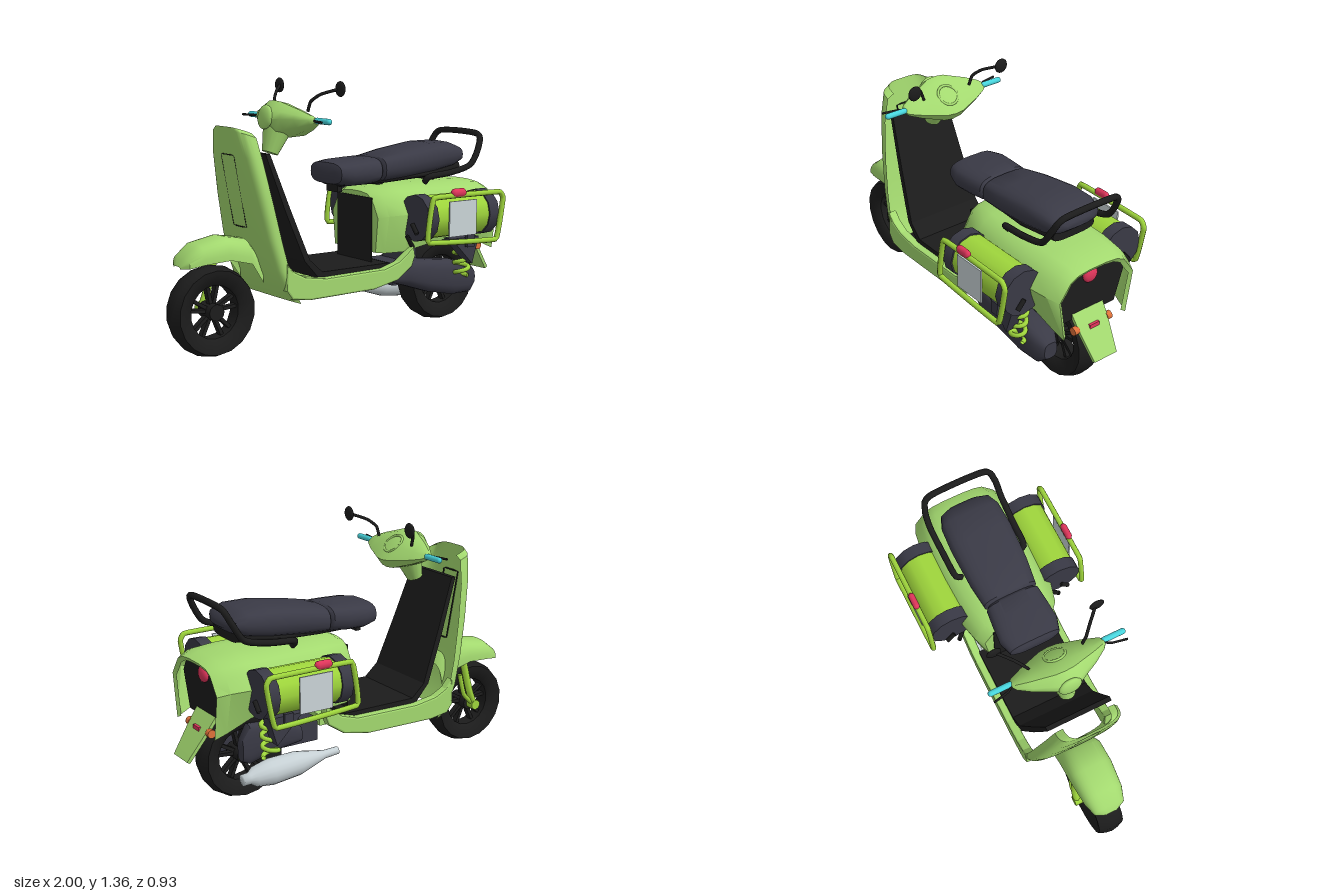
import * as THREE from 'three';
import { toCreasedNormals } from 'three/addons/utils/BufferGeometryUtils.js';

const V = (x, y, z) => new THREE.Vector3(x, y, z);

function material(name, color) {
  const m = new THREE.MeshStandardMaterial({ color, side: THREE.DoubleSide });
  m.name = name;
  return m;
}

// Skin a row of cross-sections (arrays of Vector3 of equal length)
function loft(sections, { closed = true, caps = [true, true] } = {}) {
  const n = sections[0].length, pos = [], idx = [];
  sections.forEach(s => s.forEach(p => pos.push(p.x, p.y, p.z)));
  const span = closed ? n : n - 1;
  for (let i = 0; i < sections.length - 1; i++)
    for (let j = 0; j < span; j++) {
      const a = i * n + j, b = i * n + (j + 1) % n;
      idx.push(a, b, a + n, b, b + n, a + n);
    }
  [0, sections.length - 1].forEach((s, k) => {
    if (!caps[k]) return;
    const c = sections[s].reduce((sum, p) => sum.add(p), V(0, 0, 0)).divideScalar(n);
    const ci = pos.push(c.x, c.y, c.z) / 3 - 1;
    for (let j = 0; j < n; j++) {
      const a = s * n + j, b = s * n + (j + 1) % n;
      k ? idx.push(a, b, ci) : idx.push(b, a, ci);
    }
  });
  const g = new THREE.BufferGeometry();
  g.setAttribute('position', new THREE.Float32BufferAttribute(pos, 3));
  g.setIndex(idx);
  return toCreasedNormals(g, 0.75);
}

const pw = (v, e) => Math.sign(v) * Math.abs(v) ** e;

// Rounded ring at x: half width w, top yt, bottom yb, centred on zc
const ring = ([x, w, yt, yb], zc = 0) => Array.from({ length: 20 }, (_, i) => {
  const a = i / 20 * Math.PI * 2;
  return V(x, (yt + yb) / 2 + (yt - yb) / 2 * pw(Math.sin(a), 0.7), zc + w * pw(Math.cos(a), 0.6));
});

// Open dome at x, with its rim at yb
const dome = ([x, w, yt, yb]) => Array.from({ length: 17 }, (_, i) => {
  const a = i / 16 * Math.PI;
  return V(x, yb + (yt - yb) * Math.abs(Math.sin(a)) ** 0.8, w * pw(Math.cos(a), 0.65));
});

function extrude(points, depth, z0, bevel = 0) {
  const shape = new THREE.Shape(points.map(p => new THREE.Vector2(p[0], p[1])));
  const g = new THREE.ExtrudeGeometry(shape, { depth, bevelEnabled: bevel > 0, bevelSize: bevel, bevelThickness: bevel, bevelSegments: 2 });
  return g.translate(0, 0, z0);
}

const tube = (pts, r, closed = false, tension = 0.3, seg = 40) =>
  new THREE.TubeGeometry(new THREE.CatmullRomCurve3(pts.map(p => V(...p)), closed, 'catmullrom', tension), seg, r, 8, closed);

const box = (w, h, d, x, y, z) => new THREE.BoxGeometry(w, h, d).translate(x, y, z);

export function createModel() {
  const model = new THREE.Group();
  const green = material('body green', 0xa3d96f), lime = material('lime', 0x9fd63c);
  const black = material('black', 0x1c1c1c), slate = material('dark slate', 0x3a3a46);
  const cyan = material('cyan', 0x48d6de), red = material('red', 0xe2365c);
  const orange = material('orange', 0xe0723a), grey = material('plate grey', 0xcbd5d8);
  const silver = material('silver', 0xc6d0d4);
  const add = (name, geo, mat, parent = model) => {
    const m = new THREE.Mesh(geo, mat);
    m.name = name;
    parent.add(m);
    return m;
  };

  // Wheels
  const tyre = [[.145, -.05], [.19, -.068], [.212, -.07], [.225, -.035], [.231, 0], [.225, .035], [.212, .07], [.19, .068], [.145, .05], [.135, .04], [.135, -.04], [.145, -.05]];
  for (const [name, x] of [['frontWheel', -.77], ['rearWheel', .675]]) {
    const wheel = new THREE.Group();
    wheel.name = name;
    wheel.position.set(x, .231, 0);
    add('tyre', toCreasedNormals(new THREE.LatheGeometry(tyre.map(p => new THREE.Vector2(...p)), 18).rotateX(Math.PI / 2), 0.5), black, wheel);
    add('hub', new THREE.CylinderGeometry(.042, .042, .12, 12).rotateX(Math.PI / 2), black, wheel);
    for (let i = 0; i < 10; i++)
      add('spoke', box(.12, .018, .035, .08, 0, 0).rotateZ((Math.floor(i / 2) + (i % 2 ? .17 : -.17)) * Math.PI * 2 / 5 + .3), black, wheel);
    model.add(wheel);
  }

  // Front fender and single-sided fork
  add('frontFender', loft([[-.955, .03, .475, .465], [-.93, .085, .525, .47], [-.86, .108, .58, .485], [-.72, .12, .605, .495],
    [-.6, .12, .585, .465], [-.53, .11, .5, .36]].map(dome), { closed: false, caps: [false, false] }), green);
  add('fork', tube([[-.77, .231, -.095], [-.735, .32, -.095], [-.7, .49, -.08]], .02), lime);
  add('forkLink', tube([[-.77, .231, -.095], [-.7, .3, -.095], [-.67, .42, -.09]], .013), lime);
  add('axle', new THREE.CylinderGeometry(.028, .028, .05, 10).rotateX(Math.PI / 2).translate(-.77, .231, -.09), lime);

  // Leg shield: a front sheet whose sides fold back
  const shieldRows = [[1.14, -.685, .12], [1.12, -.682, .16], [1, -.665, .195], [.8, -.628, .225], [.6, -.588, .245], [.45, -.55, .255], [.35, -.515, .255], [.29, -.48, .24]];
  add('legShield', loft(shieldRows.map(([y, x, w]) => Array.from({ length: 29 }, (_, i) => {
    const a = i / 28 * Math.PI, back = 1 - Math.sin(a) ** 0.6;
    return V(x + .085 * back, y - .03 * back, w * pw(Math.cos(a), 0.5));
  })), { closed: false, caps: [false, false] }), green);
  add('shieldSeam', tube([[-.662, 1, -.06], [-.662, 1, .06], [-.594, .64, .06], [-.594, .64, -.06]], .004, true, 0.02), black);

  // Inner mat, narrowing towards the top
  const mat = extrude([[-.555, 1.01], [-.455, .72], [-.355, .465], [-.27, .37], [.17, .37], [.17, .402], [-.25, .402], [-.325, .47], [-.43, .74], [-.53, 1.01]], .44, -.22);
  const mp = mat.attributes.position;
  for (let i = 0; i < mp.count; i++) mp.setZ(i, mp.getZ(i) * (1 - Math.max(0, mp.getY(i) - .45) * .36));
  mat.computeVertexNormals();
  add('footMat', mat, black);
  add('underSpine', box(.52, .06, .16, -.02, .335, 0), green);

  // Floor rails
  const rail = [[-.48, .46], [-.45, .42], [-.38, .385], [-.25, .365], [.12, .37], [.22, .4], [.305, .465], [.31, .43], [.29, .38], [.2, .32], [.05, .29], [-.35, .285], [-.45, .3], [-.48, .34]];
  for (const z of [-.25, .22]) add('floorRail', extrude(rail, .03, z, .01), green);

  // Rear body shell: x, half width, top, bottom, bottom half width
  const bodySection = ([x, w, yt, yb, wb]) => {
    const h = yt - .79, half = [[wb, yb], [w, .65 + h / 2], [w * .85, .718 + h], [w * .72, .76 + h], [w * .52, .782 + h], [w * .22, .79 + h]];
    return [...half, ...half.slice().reverse().map(([z, y]) => [-z, y])].map(([z, y]) => V(x, y, z));
  };
  add('rearBody', loft([[.115, .2, .765, .455, .18], [.16, .238, .785, .45, .2], [.28, .268, .795, .45, .22], [.5, .282, .795, .49, .23],
    [.72, .282, .79, .49, .225], [.85, .262, .782, .43, .21], [.912, .235, .755, .405, .2], [.9, .215, .735, .415, .18]].map(bodySection),
    { closed: false, caps: [true, false] }), green);
  add('bodyFrontPanel', box(.006, .34, .3, .113, .57, 0), black);
  const tailPanel = extrude([[-.175, .45], [-.232, .64], [-.19, .715], [-.13, .745], [.13, .745], [.19, .715], [.232, .64], [.175, .45]], .012, 0);
  add('tailPanel', tailPanel.rotateY(Math.PI / 2).translate(.84, 0, 0), black);
  add('tailLight', new THREE.SphereGeometry(.044, 16, 10).scale(.5, 1, 1).translate(.858, .68, 0), red);

  // Mud flap with reflector and indicators
  add('mudFlap', loft([[.83, .48, .1], [.88, .41, .096], [.985, .258, .072]].map(([x, y, w]) =>
    [V(x, y, -w), V(x + .016, y + .01, -w), V(x + .016, y + .01, w), V(x, y, w)])), green);
  add('reflector', box(.022, .028, .06, .9, .405, 0), red);
  for (const s of [-1, 1]) add('indicator', new THREE.CylinderGeometry(.022, .022, .03, 12).rotateX(Math.PI / 2).translate(.885, .407, s * .106), orange);

  // Seat
  add('frontSeat', loft([[-.085, .1, .9, .84], [-.072, .14, .925, .815], [0, .163, .935, .8], [.1, .156, .94, .8], [.185, .147, .943, .808], [.2, .13, .93, .815]].map(s => ring(s))), slate);
  add('rearSeat', loft([[.2, .13, .93, .82], [.212, .148, .946, .81], [.35, .165, .972, .82], [.55, .172, 1, .838], [.68, .165, 1, .86], [.745, .14, .975, .885], [.772, .08, .945, .91]].map(s => ring(s))), slate);
  add('seatBase', loft([[-.03, .1, .83, .8], [.25, .11, .84, .8], [.5, .14, .86, .815], [.73, .13, .9, .835]].map(s => ring(s))), black);
  for (const x of [-.02, .245, .6]) add('seatPost', box(.03, .06, .1, x, .8, 0), black);
  const hoop = [[.45, .8, .17], [.46, .832, .2], [.6, .845, .204], [.74, .88, .207], [.805, .975, .2], [.835, 1.04, .15]];
  add('grabRail', tube([...hoop, ...hoop.slice().reverse().map(([x, y, z]) => [x, y, -z])], .017, false, .4, 70), black);

  // Handlebar head: one outline shrinking towards each grip
  const outline = [[-.46, 1.17], [-.445, 1.215], [-.39, 1.257], [-.34, 1.245], [-.26, 1.19], [-.2, 1.115], [-.235, 1.07], [-.33, 1.065], [-.425, 1.1]];
  const sizes = [[.25, .15], [.236, .27], [.17, .55], [.1, .78], [.05, .95]];
  const headRows = [...sizes, [0, 1], ...sizes.slice().reverse().map(([z, k]) => [-z, k])];
  add('handlebarHead', loft(headRows.map(([z, k]) => outline.map(([x, y]) => V(-.305 + (x + .305) * k, 1.165 + (y - 1.165) * k, z)))), green);
  add('steeringNeck', new THREE.CylinderGeometry(.075, .042, .13, 16).rotateZ(-.35).translate(-.395, 1.055, 0), green);
  add('headlight', new THREE.SphereGeometry(.062, 16, 10).scale(.35, 1, 1).rotateZ(-.15).translate(-.444, 1.175, 0), green);
  add('instrumentRim', new THREE.TorusGeometry(.055, .007, 8, 20).rotateX(Math.PI / 2).rotateZ(-.75).translate(-.275, 1.192, 0), green);

  for (const s of [-1, 1]) {
    const side = new THREE.Group();
    side.name = s > 0 ? 'leftSide' : 'rightSide';
    model.add(side);
    const put = (name, geo, m) => add(name, geo, m, side);

    // Grip, lever and mirror
    put('grip', new THREE.CapsuleGeometry(.0155, .1, 4, 12).rotateX(Math.PI / 2).translate(-.305, 1.165, s * .305), cyan);
    put('lever', tube([[-.31, 1.165, s * .24], [-.335, 1.165, s * .28], [-.352, 1.165, s * .36]], .006), black);
    put('mirrorStem', tube([[-.285, 1.205, s * .145], [-.28, 1.255, s * .165], [-.245, 1.29, s * .2], [-.185, 1.315, s * .26]], .008), black);
    put('mirror', new THREE.SphereGeometry(.039, 16, 10).scale(.35, 1, 1).translate(-.178, 1.317, s * .273), black);

    // Cylindrical side case
    const drum = (r, x0, x1) => new THREE.CylinderGeometry(r, r, x1 - x0, 12).rotateZ(Math.PI / 2).translate((x0 + x1) / 2, .64, s * .315);
    put('sideCase', drum(.115, .3, .71), lime);
    for (const [x0, x1, end] of [[.265, .33, .245], [.68, .745, .755]]) {
      put('caseEndCap', drum(.123, x0, x1), slate);
      put('caseLatch', tube([[end, .612, s * .32], [end, .565, s * .36]], .012), black);
    }
    put('casePlate', box(.185, .185, .008, .485, .637, s * .441), grey);

    // Guard frame around the case
    put('guardFrame', tube([[.285, .757, s * .445], [.735, .757, s * .445], [.762, .72, s * .445], [.715, .505, s * .445], [.25, .53, s * .445]], .0145, true, .08, 90), lime);
    put('guardLight', new THREE.CapsuleGeometry(.021, .055, 4, 10).rotateZ(Math.PI / 2).scale(1, 1.1, .85).translate(.448, .773, s * .447), red);

    // Case bracket and coil spring
    put('caseBracket', extrude([[.5, .51], [.69, .51], [.645, .365]], .07, s * .305 - .035), slate);
    put('bracketTab', box(.05, .07, .02, .6, .5, s * .37), slate);
    put('strut', tube([[.23, .545, s * .3], [.33, .47, s * .22]], .012), black);
    const coil = Array.from({ length: 41 }, (_, i) => {
      const a = i / 10 * Math.PI * 2, t = i / 40;
      return [.64 + .04 * Math.cos(a), .5 - .215 * t, s * (.245 + .02 * t + .033 * Math.sin(a))];
    });
    put('coilSpring', tube(coil, .0125, false, .5, 140), lime);
  }

  // Engine, drive casing and swing arm
  add('driveCasing', loft([[.2, .04, .34, .29], [.3, .075, .4, .26], [.45, .08, .39, .21], [.62, .08, .37, .175], [.74, .07, .34, .175], [.785, .04, .3, .21]].map(s => ring(s, .168))), slate);
  add('engineBlock', box(.2, .12, .24, .38, .31, 0), slate);
  add('engineCylinder', extrude([[.37, .34], [.46, .34], [.45, .45], [.4, .45]], .2, -.1), slate);
  add('rearArm', loft([[.4, .03, .36, .28], [.55, .04, .42, .26], [.7, .04, .43, .22], [.74, .03, .36, .24]].map(s => ring(s, -.14))), slate);
  add('axleMount', box(.08, .08, .04, .675, .26, -.09), lime);

  // Muffler
  const can = [[0, 0], [.02, 0], [.022, .08], [.042, .16], [.062, .24], [.068, .4], [.052, .49], [.03, .52], [.03, .56], [0, .555]];
  add('muffler', new THREE.LatheGeometry(can.map(p => new THREE.Vector2(...p)), 16).rotateZ(-Math.PI / 2 - .07).translate(.205, .2, -.193), silver);

  return model;
}
